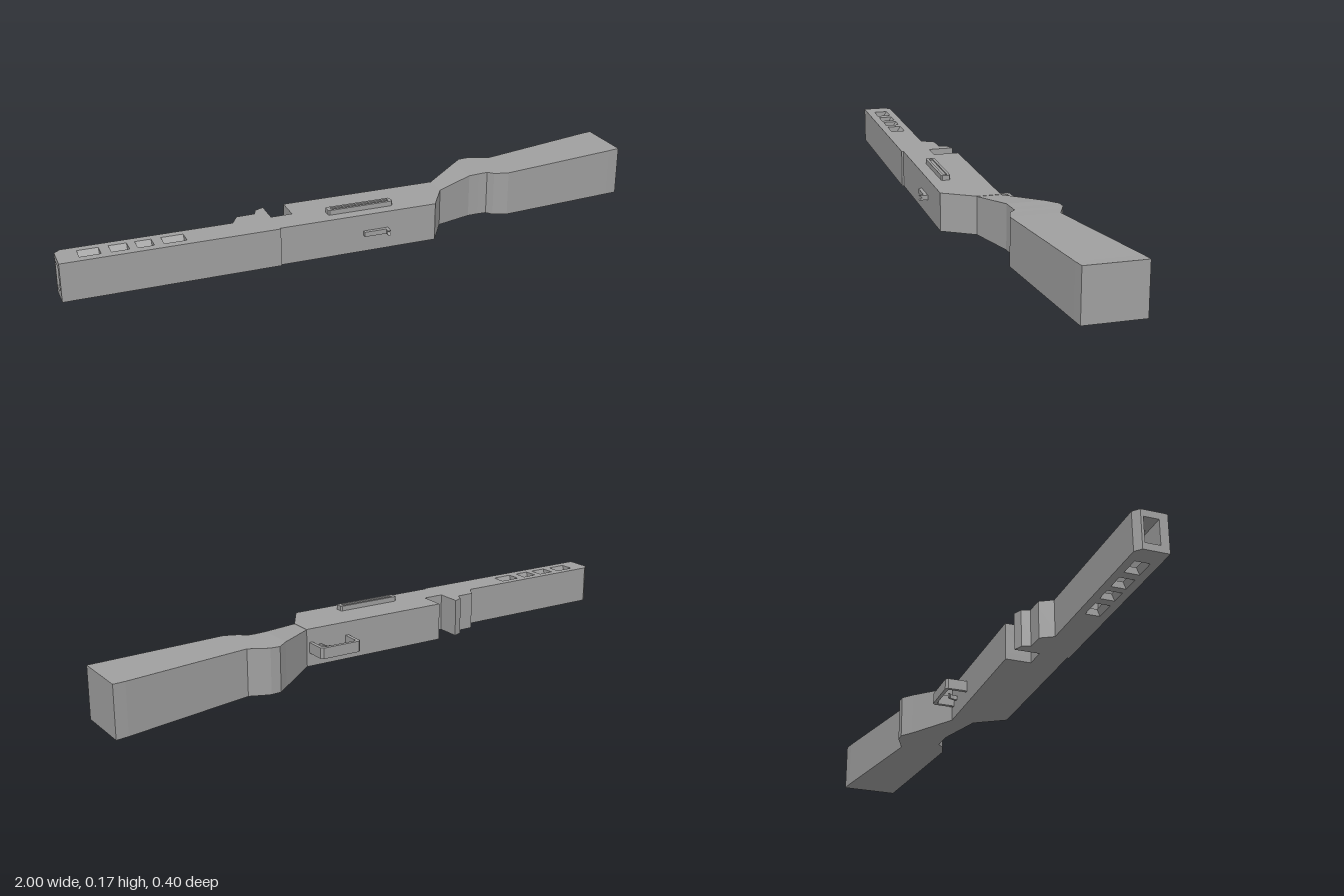
import * as THREE from 'three';

const metal = new THREE.MeshStandardMaterial({ color: 0xa0a0a0 });
metal.name = 'plain grey';

const toShape = (pts) => new THREE.Shape(pts.map(([x, z]) => new THREE.Vector2(x, -z)));
const rect = (x0, x1, z0, z1) => [[x0, z0], [x0, z1], [x1, z1], [x1, z0]];

// Extrude an outline given in x and z upwards from y0 to y1
function slab(name, pts, y0, y1, holes = []) {
  const shape = toShape(pts);
  holes.forEach((h) => shape.holes.push(toShape(h)));
  const geo = new THREE.ExtrudeGeometry(shape, { depth: y1 - y0, bevelEnabled: false });
  geo.rotateX(-Math.PI / 2).translate(0, y0, 0);
  const mesh = new THREE.Mesh(geo, metal);
  mesh.name = name;
  return mesh;
}

// Prism along x with a profile given in y and z
function prismX(name, profile, x0, x1) {
  const shape = new THREE.Shape(profile.map(([y, z]) => new THREE.Vector2(-z, y)));
  const geo = new THREE.ExtrudeGeometry(shape, { depth: x1 - x0, bevelEnabled: false });
  geo.rotateY(Math.PI / 2).translate(x0, 0, 0);
  const mesh = new THREE.Mesh(geo, metal);
  mesh.name = name;
  return mesh;
}

// Butt stock: a box whose slices follow a list of stations
function makeStock() {
  // x, zMin, zMax, yMin, yMax
  const st = [
    [0.27, -0.01, 0.067, 0.022, 0.146],
    [0.404, -0.112, 0.013, 0.012, 0.158],
    [0.44, -0.142, 0.01, 0.011, 0.158],
    [0.473, -0.142, 0.009, 0.01, 0.159],
    [0.49, -0.134, 0.028, 0.009, 0.159],
    [0.537, -0.112, 0.043, 0.008, 0.16],
    [0.96, -0.195, -0.003, 0.001, 0.166],
    [1, -0.2, -0.008, 0, 0.167],
  ];
  const n = st.length - 1;
  const geo = new THREE.BoxGeometry(1, 1, 1, n, 1, 1).toNonIndexed();
  const p = geo.attributes.position;
  for (let i = 0; i < p.count; i++) {
    const s = st[Math.round((p.getX(i) + 0.5) * n)];
    p.setXYZ(i, s[0], p.getY(i) > 0 ? s[4] : s[3], p.getZ(i) > 0 ? s[2] : s[1]);
  }
  geo.computeVertexNormals();
  const mesh = new THREE.Mesh(geo, metal);
  mesh.name = 'stock';
  return mesh;
}

export function createModel() {
  const g = new THREE.Group();
  g.name = 'rifle';
  const Y0 = 0.022, Y1 = 0.147, W = 0.022;

  // Fore-end and receiver, in three layers so that the muzzle is hollow
  const upper = [
    [-0.98, 0.075], [-0.445, 0.075], [-0.42, 0.033], [-0.36, 0.031], [-0.35, 0.004],
    [-0.32, -0.008], [-0.32, 0.075], [-0.25, 0.075], [-0.25, -0.01], [0.27, -0.01],
    [0.27, 0.067], [0.206, 0.168], [-0.32, 0.168], [-0.32, 0.174], [-1, 0.174],
  ];
  const solid = [[-1, 0.092], ...upper];
  const hollow = [[-1, 0.092], ...upper, [-1, 0.147], [-0.6, 0.147], [-0.6, 0.1], [-1, 0.1]];
  const slots = [[-0.935, -0.87], [-0.84, -0.785], [-0.76, -0.71], [-0.68, -0.61]];
  const holes = slots.map(([a, b]) => rect(a, b, 0.1, 0.147));
  g.add(slab('lowerShell', solid, Y0, Y0 + W, holes));
  g.add(slab('body', hollow, Y0 + W, Y1 - W));
  g.add(slab('upperShell', solid, Y1 - W, Y1, holes));

  // Sloping sides inside the vent slots
  for (const [a, b] of slots) {
    for (const [outer, inner] of [[Y0, Y0 + W], [Y1, Y1 - W]]) {
      g.add(prismX('slotBevel', [[outer, 0.1], [inner, 0.1], [inner, 0.114]], a, b));
      g.add(prismX('slotBevel', [[outer, 0.147], [inner, 0.147], [inner, 0.138]], a, b));
    }
  }

  g.add(makeStock());

  // Raised side rail with a shallow recess
  const railOuter = [
    [-0.147, 0.104], [-0.143, 0.1], [0.068, 0.1], [0.072, 0.104],
    [0.072, 0.126], [0.068, 0.13], [-0.143, 0.13], [-0.147, 0.126],
  ];
  g.add(slab('sideRail', railOuter, Y1, 0.163, [rect(-0.135, 0.06, 0.109, 0.121)]));
  g.add(slab('sideRailPanel', rect(-0.135, 0.06, 0.109, 0.121), Y1, 0.159));

  // Trigger guard loop and trigger
  const guard = [
    [0.113, 0], [0.113, -0.077], [0.121, -0.085], [0.252, -0.085], [0.26, -0.077], [0.26, 0],
    [0.248, 0], [0.248, -0.068], [0.243, -0.073], [0.13, -0.073], [0.125, -0.068], [0.125, 0],
  ];
  g.add(slab('triggerGuard', guard, 0.066, 0.102));
  const trigger = [
    [0.215, 0], [0.217, -0.02], [0.212, -0.035], [0.202, -0.042], [0.206, -0.047],
    [0.219, -0.039], [0.226, -0.02], [0.226, 0],
  ];
  g.add(slab('trigger', trigger, 0.077, 0.091));

  // Rear sight: low base and a notched leaf
  g.add(slab('sightBase', rect(-0.043, 0.04, 0.165, 0.18), 0.076, 0.092));
  g.add(prismX('sightLeaf', [
    [0.076, 0.165], [0.076, 0.197], [0.084, 0.186], [0.092, 0.197], [0.092, 0.165],
  ], 0.03, 0.04));

  return g;
}
